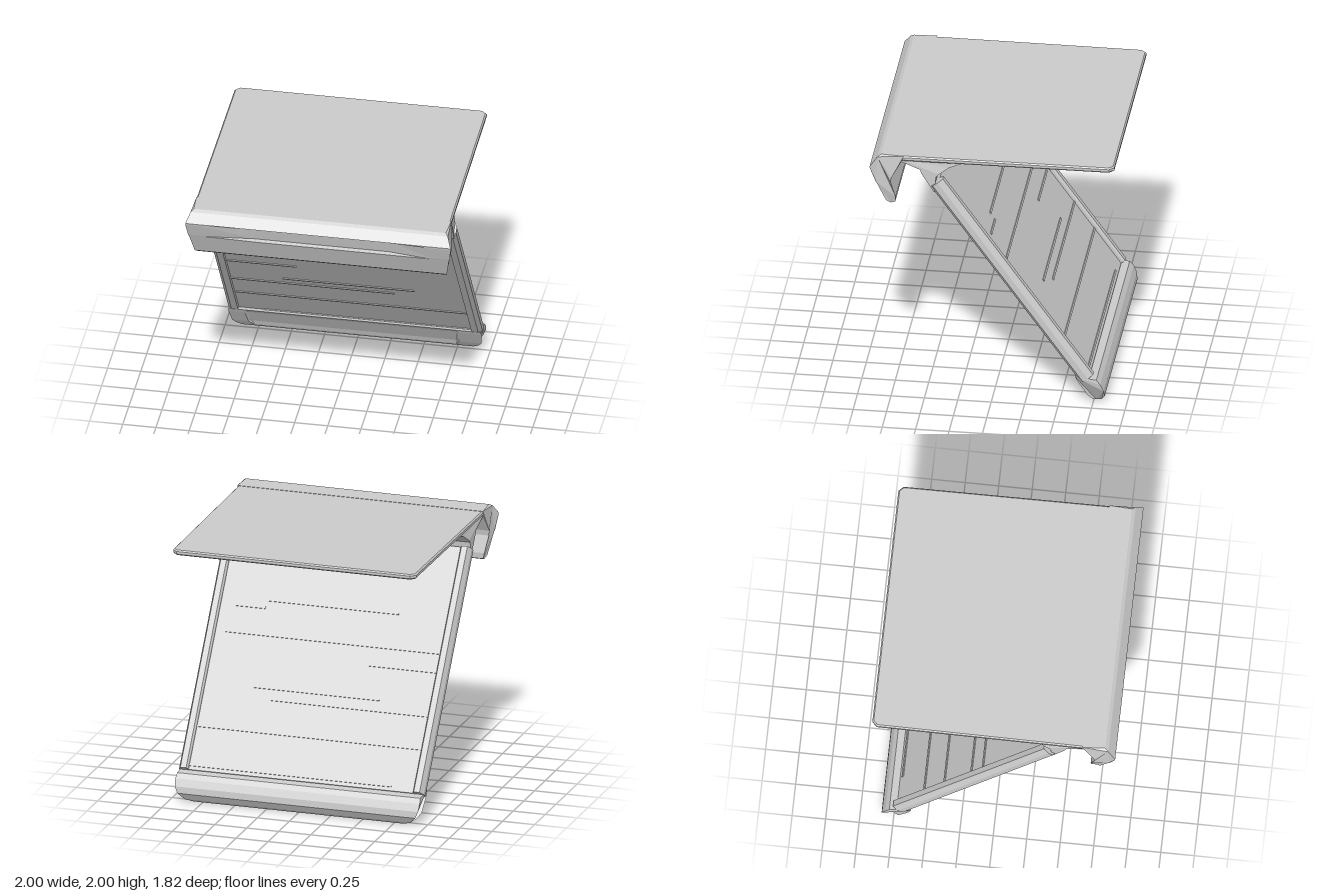
import * as THREE from 'three';

const material = new THREE.MeshStandardMaterial({ color: 0xcccccc, flatShading: true });

function addMesh(parent, name, geometry) {
  const mesh = new THREE.Mesh(geometry, material);
  mesh.name = name;
  parent.add(mesh);
  return mesh;
}

// Lofts a side profile across x. Profile points: [z, y, halfWidth, recess in z].
// Stations: [fraction of halfWidth, fraction of recess].
function loftAcross(profile, stations) {
  const outline = profile.map(([z, y]) => new THREE.Vector2(y, z));
  let pts = profile;
  if (THREE.ShapeUtils.isClockWise(outline)) {
    outline.reverse();
    pts = [...profile].reverse();
  }
  const n = pts.length, last = (stations.length - 1) * n;
  const positions = [], index = [];
  for (const [s, r] of stations) {
    for (const [z, y, halfWidth, recess = 0] of pts) positions.push(s * halfWidth, y, z - r * recess);
  }
  for (let k = 0; k < last; k += n) {
    for (let i = 0; i < n; i++) {
      const a = k + i, b = k + (i + 1) % n;
      index.push(a, b, b + n, a, b + n, a + n);
    }
  }
  for (const [a, b, c] of THREE.ShapeUtils.triangulateShape(outline, [])) {
    index.push(last + a, last + b, last + c, c, b, a);
  }
  const indexed = new THREE.BufferGeometry();
  indexed.setAttribute('position', new THREE.Float32BufferAttribute(positions, 3));
  indexed.setIndex(index);
  const geometry = indexed.toNonIndexed();
  geometry.computeVertexNormals();
  return geometry;
}

function shapeOf(points) {
  return new THREE.Shape(points.map(([x, y]) => new THREE.Vector2(x, y)));
}

export function createModel() {
  const model = new THREE.Group();
  model.name = 'foldingStand';

  // Thin top plate, drawn in x and -z, with clipped back corners
  const plate = new THREE.ExtrudeGeometry(
    shapeOf([[-0.95, -0.8], [0.95, -0.8], [0.94, 0.87], [0.91, 0.9], [-0.91, 0.9], [-0.94, 0.87]]),
    { depth: 0.02, bevelEnabled: true, bevelSize: 0.01, bevelThickness: 0.01, bevelSegments: 1 });
  plate.rotateX(-Math.PI / 2);
  addMesh(model, 'topPlate', plate).position.y = 1.965;

  // Hooked front lip with a shallow recess in its face
  const lip = [
    [0.66, 1.998, 0.96], [0.83, 2.0, 0.95], [0.855, 1.985, 0.97],
    [0.91, 1.915, 1.0], [0.907, 1.9, 1.0, 0.045], [0.868, 1.79, 0.985, 0.035], [0.863, 1.78, 0.98],
    [0.793, 1.615, 0.95], [0.76, 1.59, 0.935], [0.725, 1.605, 0.94], [0.722, 1.65, 0.95],
    [0.757, 1.78, 0.975], [0.75, 1.82, 0.98], [0.68, 1.945, 0.96],
  ];
  addMesh(model, 'frontHook', loftAcross(lip,
    [[-1, 0], [-0.88, 0], [-0.5, 1], [0.53, 1], [0.85, 0], [1, 0]]));

  // Hinge bracket joining the plate to the support
  const bracket = [
    [0.69, 1.97, 0.95], [0.68, 1.945, 0.95], [0.54, 1.885, 0.945], [0.53, 1.855, 0.945],
    [0.435, 1.7, 0.94], [0.42, 1.83, 0.94], [0.4, 1.85, 0.94],
    [0.33, 1.9, 0.92], [0.2, 1.945, 0.9], [0.2, 1.97, 0.9],
  ];
  addMesh(model, 'hingeBracket', loftAcross(bracket, [[-1, 0], [1, 0]]));

  // Slanted support: web panel, side rails and thin ribs
  const support = new THREE.Group();
  support.name = 'support';
  support.position.set(0, 0.995, -0.143);
  support.rotation.x = 0.622;
  model.add(support);
  const length = 1.93;
  addMesh(support, 'webPanel', new THREE.BoxGeometry(1.8, length, 0.05));

  const section = [[0.88, -0.055], [0.93, -0.055], [0.957, -0.03], [0.957, 0.015], [0.935, 0.06], [0.89, 0.06], [0.88, 0.045]];
  for (const side of [1, -1]) {
    const points = section.map(([x, t]) => [side * x, t]);
    const rail = new THREE.ExtrudeGeometry(shapeOf(points), { depth: length, bevelEnabled: false });
    rail.rotateX(-Math.PI / 2);
    addMesh(support, side > 0 ? 'leftRail' : 'rightRail', rail).position.y = -length / 2;
  }

  // Ribs: height above ground, start and end in x
  const ribs = [
    [1.56, -0.5, 0.1], [1.32, -0.5, 0.53], [1.27, 0.53, 0.76], [1.1, -0.88, 0.8], [0.98, -0.88, -0.35],
    [0.77, -0.48, 0.51], [0.7, -0.88, 0.35], [0.49, -0.88, 0.88], [0.24, -0.7, 0.88],
  ];
  for (const [y, from, to] of ribs) {
    const rib = addMesh(support, 'rib', new THREE.BoxGeometry(to - from, 0.016, 0.064));
    rib.position.set((from + to) / 2, (y - 0.995) / Math.cos(0.622), 0);
  }

  // Foot bar with rounded lower corners and a shallow front hollow
  const foot = [
    [-0.62, 0.23, 0.95], [-0.64, 0.195, 0.955, 0.015], [-0.715, 0.075, 0.94, 0.015], [-0.745, 0.035, 0.91],
    [-0.77, 0.008, 0.87], [-0.785, 0, 0.82], [-0.81, 0.02, 0.88], [-0.84, 0.07, 0.93],
    [-0.835, 0.12, 0.95], [-0.81, 0.175, 0.955], [-0.78, 0.21, 0.95],
  ];
  addMesh(model, 'footBar', loftAcross(foot,
    [[-1, 0], [-0.87, 0], [-0.85, 1], [0.8, 1], [0.82, 0], [1, 0]]));

  return model;
}
